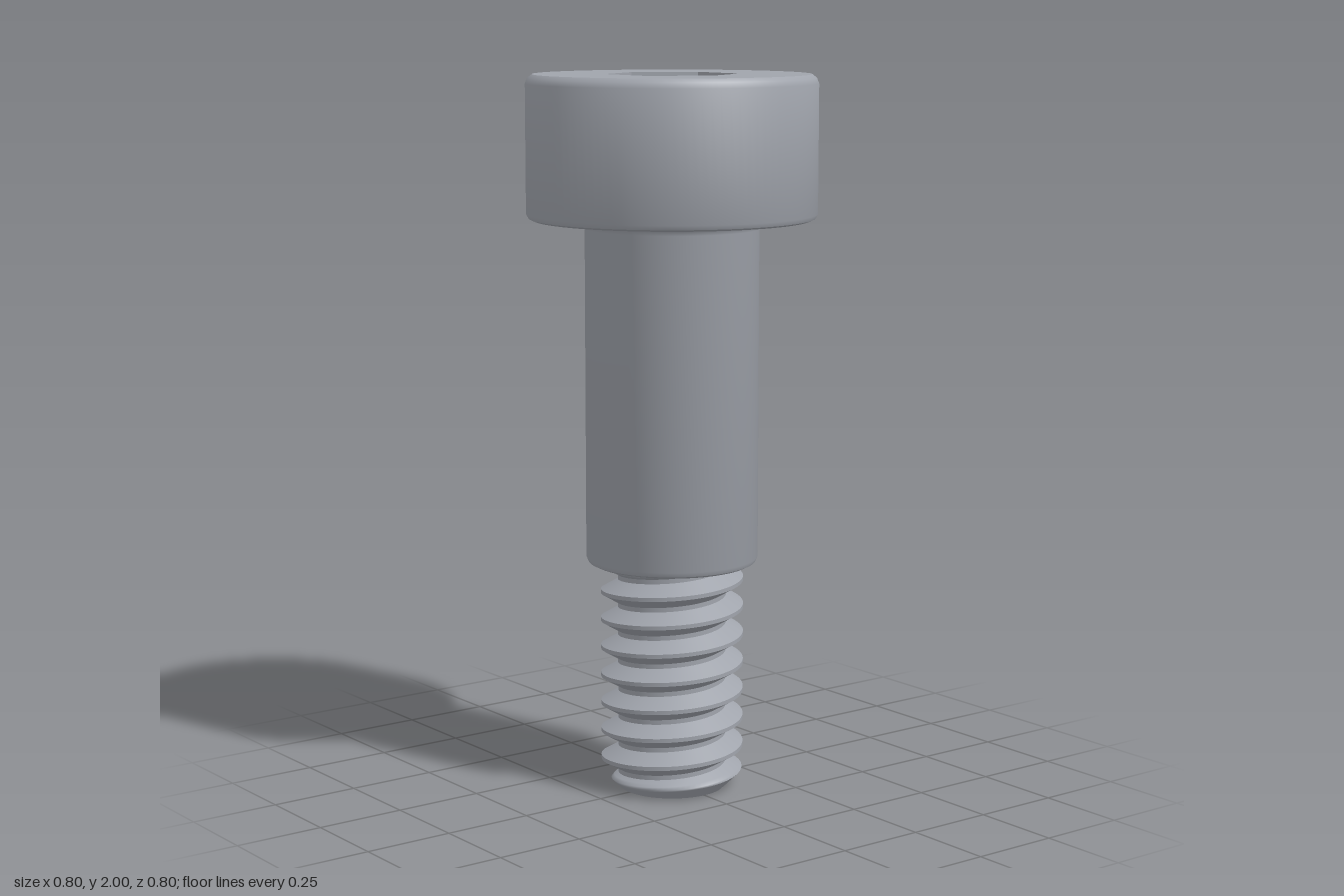
import * as THREE from 'three';
import { toCreasedNormals } from 'three/addons/utils/BufferGeometryUtils.js';

const SEG = 96;
const steel = new THREE.MeshStandardMaterial({ color: 0xa0a4ac });
steel.name = 'steel grey';

function addMesh(group, name, geometry) {
  const mesh = new THREE.Mesh(geometry, steel);
  mesh.name = name;
  group.add(mesh);
}

// Profile of [radius, height] pairs, listed from bottom to top
function turned(profile) {
  const points = profile.map(([r, y]) => new THREE.Vector2(r, y));
  return toCreasedNormals(new THREE.LatheGeometry(points, SEG), 0.6);
}

// Right-handed helical thread: one strip per face of the profile, so edges stay sharp
function threadGeometry(bottom, top, root, crest, pitch) {
  // Fractions of a pitch, measured from the crest centre
  const profile = [[-0.5, root], [-0.42, root], [-0.07, crest], [0.07, crest], [0.42, root], [0.5, root]];
  const rows = 4, perTurn = 72, start = -1.5;
  const turns = Math.ceil((top - bottom) / pitch) + 3;
  const positions = [], indices = [];
  for (let s = 0; s < profile.length - 1; s++) {
    const base = positions.length / 3;
    for (let i = 0; i <= turns * perTurn; i++) {
      const turn = start + i / perTurn;
      const a = turn * Math.PI * 2;
      for (let j = 0; j <= rows; j++) {
        const k = j / rows;
        const f = THREE.MathUtils.lerp(profile[s][0], profile[s + 1][0], k);
        const y = THREE.MathUtils.clamp(0.03 + pitch * (turn + f), bottom, top);
        // Radius follows the height, so the clipped ends remain true to the profile
        const d = Math.abs(THREE.MathUtils.clamp((y - 0.03) / pitch - turn, -0.5, 0.5));
        const flank = THREE.MathUtils.clamp((0.42 - d) / 0.35, 0, 1);
        const r = Math.min(root + (crest - root) * flank,
          0.15 + (y - bottom), 0.158 + (top - y) * 1.1);
        positions.push(r * Math.sin(a), y, r * Math.cos(a));
      }
    }
    const w = rows + 1;
    for (let i = 0; i < turns * perTurn; i++) {
      for (let j = 0; j < rows; j++) {
        const p = base + i * w + j;
        indices.push(p, p + w, p + w + 1, p, p + w + 1, p + 1);
      }
    }
  }
  const g = new THREE.BufferGeometry();
  g.setAttribute('position', new THREE.Float32BufferAttribute(positions, 3));
  g.setIndex(indices);
  g.computeVertexNormals();
  return g;
}

export function createModel() {
  const model = new THREE.Group();
  model.name = 'shoulderScrew';

  // Head with softened rims
  addMesh(model, 'headSide', turned([
    [0.24, 1.605], [0.382, 1.605], [0.394, 1.61], [0.4, 1.622],
    [0.4, 1.975], [0.394, 1.99], [0.381, 2],
  ]));

  // Head top with a hexagonal opening
  const hexRadius = 0.185, socketDepth = 0.2;
  const face = new THREE.Shape().absarc(0, 0, 0.381, 0, Math.PI * 2);
  const hex = [];
  for (let i = 0; i < 6; i++) {
    const a = Math.PI / 6 + i * Math.PI / 3;
    hex.push(new THREE.Vector2(hexRadius * Math.cos(a), hexRadius * Math.sin(a)));
  }
  face.holes.push(new THREE.Path(hex));
  addMesh(model, 'headTop', new THREE.ShapeGeometry(face, SEG / 2).rotateX(-Math.PI / 2).translate(0, 2, 0));

  // Socket walls, turned inward, and floor
  const walls = new THREE.CylinderGeometry(hexRadius, hexRadius, socketDepth, 6, 1, true)
    .toNonIndexed().scale(-1, 1, 1).translate(0, 2 - socketDepth / 2, 0);
  // Swap corners so the mirrored faces point to the axis
  walls.computeVertexNormals();
  addMesh(model, 'socketWalls', walls);
  addMesh(model, 'socketFloor', new THREE.CircleGeometry(hexRadius, 6, Math.PI / 2)
    .rotateX(-Math.PI / 2).translate(0, 2 - socketDepth, 0));

  // Smooth shoulder with bevelled foot and a small fillet under the head
  addMesh(model, 'shoulder', turned([
    [0.1, 0.645], [0.222, 0.645], [0.234, 0.651], [0.24, 0.664],
    [0.24, 1.58], [0.244, 1.593], [0.256, 1.605],
  ]));

  // Threaded end and its flat tip
  addMesh(model, 'thread', threadGeometry(0, 0.645, 0.152, 0.2, 0.08));
  addMesh(model, 'threadTip', new THREE.CircleGeometry(0.15, SEG).rotateX(Math.PI / 2));

  return model;
}
